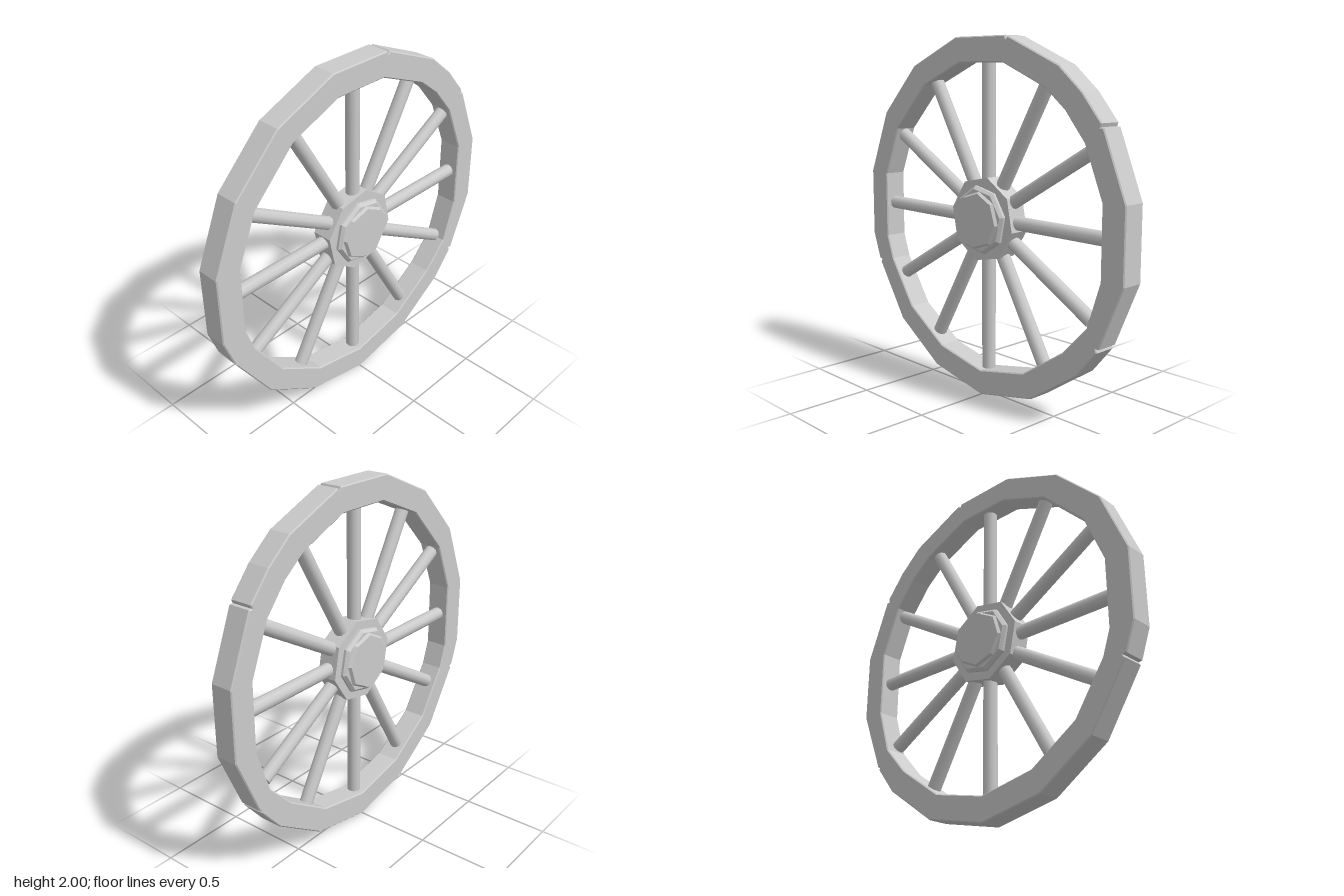
import * as THREE from 'three';

const CENTER_Y = 1.01;
const HALF = 0.067;      // half thickness of the rim
const BEVEL = 0.006;

// Hand-hewn rim outline as [z, y]; a third value marks a notched joint
const OUTER = [
  [0.196, 2], [-0.196, 2, 1], [-0.56, 1.846], [-0.71, 1.72], [-0.842, 1.565, 1],
  [-0.99, 1.2], [-0.99, 0.806], [-0.842, 0.456, 1], [-0.71, 0.297], [-0.387, 0.08],
  [0, 0], [0.387, 0.08], [0.71, 0.297], [0.93, 0.637, 1], [0.99, 0.806],
  [0.99, 1.204], [0.838, 1.57], [0.562, 1.846],
];
const INNER = [
  [0.164, 1.862], [-0.164, 1.862], [-0.467, 1.735], [-0.6, 1.63], [-0.73, 1.475],
  [-0.846, 1.194], [-0.846, 0.806], [-0.764, 0.557], [-0.612, 0.398], [-0.334, 0.212],
  [0, 0.143], [0.334, 0.212], [0.615, 0.398], [0.796, 0.668], [0.843, 0.806],
  [0.843, 1.194], [0.727, 1.475], [0.47, 1.735],
];

// Replace each joint corner with a small V-shaped notch
function notchedOutline(points) {
  const out = [];
  points.forEach(([z, y, joint], i) => {
    const p = new THREE.Vector2(z, y);
    if (!joint) { out.push(p); return; }
    const toward = (q) => p.clone().add(new THREE.Vector2(q[0], q[1]).sub(p).setLength(0.012));
    const inward = new THREE.Vector2(0, CENTER_Y).sub(p).setLength(0.018);
    out.push(toward(points[i - 1]), p.clone().add(inward), toward(points[(i + 1) % points.length]));
  });
  return out;
}

function makeRim(material) {
  const shape = new THREE.Shape(notchedOutline(OUTER));
  shape.holes.push(new THREE.Path(INNER.map(([z, y]) => new THREE.Vector2(z, y))));
  const depth = 2 * (HALF - BEVEL);
  const geo = new THREE.ExtrudeGeometry(shape, {
    depth, bevelEnabled: true, bevelThickness: BEVEL, bevelSize: BEVEL,
    bevelOffset: -BEVEL, bevelSegments: 1,
  });
  geo.translate(0, 0, -depth / 2);
  geo.rotateY(-Math.PI / 2);
  const rim = new THREE.Mesh(geo, material);
  rim.name = 'rim';
  return rim;
}

// Eight-sided block along x, from x0 (radius r0) to x1 (radius r1)
function octagon(name, x0, r0, x1, r1, startDeg, material) {
  const geo = new THREE.CylinderGeometry(r1, r0, x1 - x0, 8, 1, false, THREE.MathUtils.degToRad(startDeg));
  geo.rotateZ(-Math.PI / 2);
  geo.translate((x0 + x1) / 2, 0, 0);
  const mesh = new THREE.Mesh(geo, material);
  mesh.name = name;
  return mesh;
}

export function createModel() {
  const flat = new THREE.MeshStandardMaterial({ color: 0xcccccc, flatShading: true });
  const smooth = new THREE.MeshStandardMaterial({ color: 0xcccccc });
  const wheel = new THREE.Group();
  wheel.name = 'wheel';
  wheel.add(makeRim(flat));

  // Hub with a stepped cap on each side
  const hub = new THREE.Group();
  hub.name = 'hub';
  hub.position.y = CENTER_Y;
  hub.add(octagon('hubBody', -0.058, 0.24, 0.058, 0.24, 34, flat));
  for (const side of [0, 1]) {
    const cap = new THREE.Group();
    cap.name = side ? 'rightCap' : 'leftCap';
    cap.rotation.y = side * Math.PI;
    cap.add(octagon('capBase', 0.05, 0.19, 0.072, 0.19, 10, flat));
    cap.add(octagon('capStep', 0.072, 0.19, 0.088, 0.174, 10, flat));
    cap.add(octagon('capFace', 0.08, 0.167, 0.104, 0.15, 40, flat));
    hub.add(cap);
  }
  wheel.add(hub);

  // Twelve round spokes
  const spokeGeo = new THREE.CylinderGeometry(0.039, 0.039, 0.71, 10);
  spokeGeo.translate(0, 0.505, 0);
  const spokes = new THREE.Group();
  spokes.name = 'spokes';
  spokes.position.y = CENTER_Y;
  for (let i = 0; i < 12; i++) {
    const spoke = new THREE.Mesh(spokeGeo, smooth);
    spoke.name = 'spoke';
    spoke.rotation.x = (i * Math.PI) / 6;
    spokes.add(spoke);
  }
  wheel.add(spokes);
  return wheel;
}
